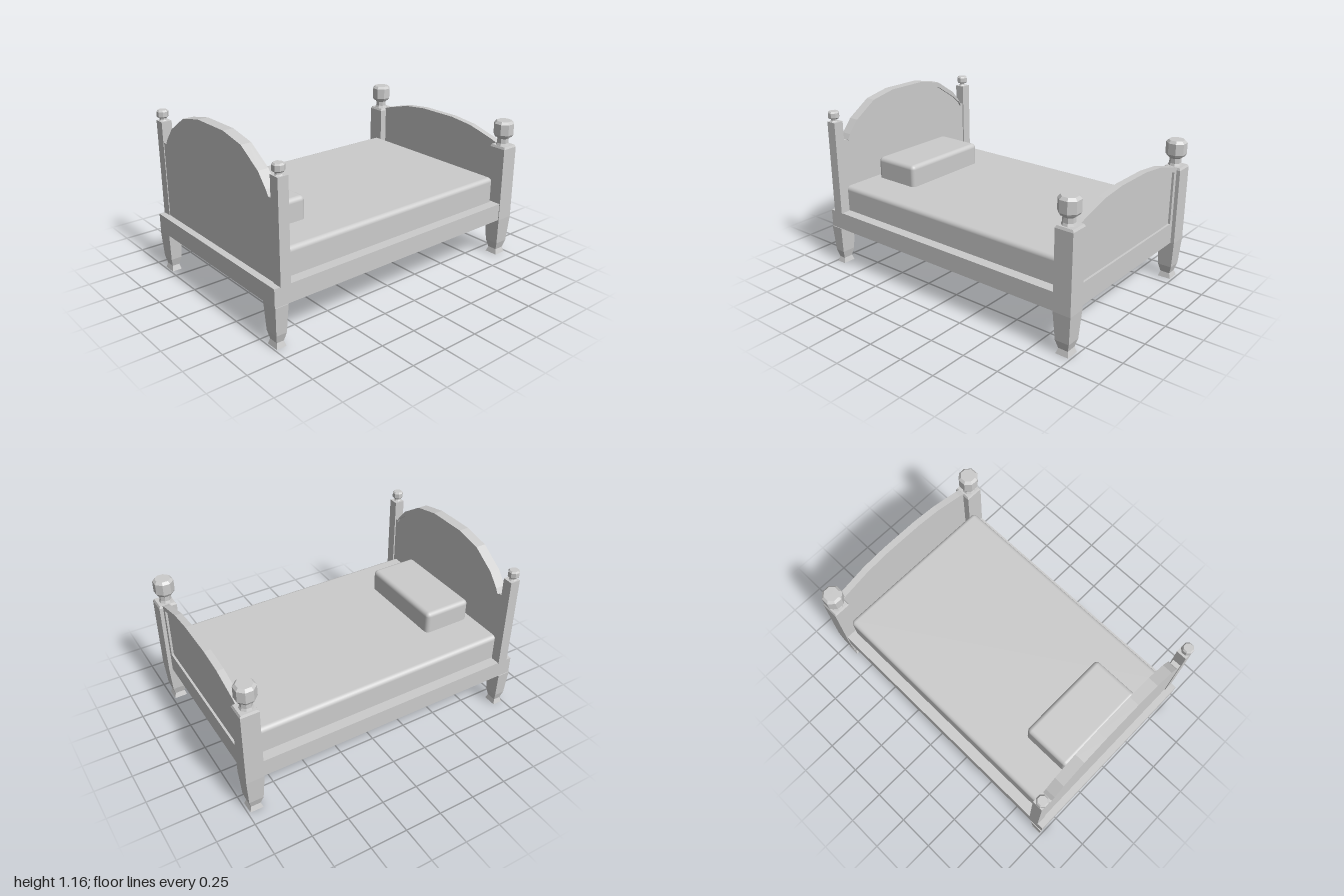
import * as THREE from 'three';
import { RoundedBoxGeometry } from 'three/addons/geometries/RoundedBoxGeometry.js';

const faceted = new THREE.MeshStandardMaterial({ color: 0xcccccc, flatShading: true });
const smooth = new THREE.MeshStandardMaterial({ color: 0xcccccc });

export function createModel() {
  const bed = new THREE.Group();
  bed.name = 'bed';

  const add = (name, geometry, x, y, z, material = faceted) => {
    const mesh = new THREE.Mesh(geometry, material);
    mesh.name = name;
    mesh.position.set(x, y, z);
    bed.add(mesh);
    return mesh;
  };

  // Box given by its minimum and maximum corners
  const box = (name, [x0, y0, z0], [x1, y1, z1]) =>
    add(name, new THREE.BoxGeometry(x1 - x0, y1 - y0, z1 - z0), (x0 + x1) / 2, (y0 + y1) / 2, (z0 + z1) / 2);

  // Profile of [half width across flats, height], swept round with flat sides
  const turned = (profile, sides) => {
    const grow = 1 / Math.cos(Math.PI / sides);
    const points = profile.map(([r, y]) => new THREE.Vector2(r * grow, y));
    return new THREE.LatheGeometry(points, sides, Math.PI / sides);
  };

  // Mirrored outline from the [z, y] points of one half, listed side to middle
  const mirrored = (half) => [...half, ...half.map(([z, y]) => [-z, y]).reverse()]
    .map(([z, y]) => new THREE.Vector2(z, y));

  // Board standing across the bed, from x0 to x1
  const board = (name, shape, x0, x1) => {
    const geometry = new THREE.ExtrudeGeometry(shape, { depth: x1 - x0, bevelEnabled: false });
    geometry.rotateY(Math.PI / 2);
    return add(name, geometry, x0, 0, 0);
  };

  // Frame
  box('frame', [-1, 0.275, -0.665], [0.97, 0.395, 0.665]);

  // Mattress and pillow
  add('mattress', new RoundedBoxGeometry(1.81, 0.25, 1.19, 3, 0.03), -0.025, 0.445, 0, smooth);
  add('pillow', new RoundedBoxGeometry(0.34, 0.18, 0.66, 3, 0.03), -0.695, 0.63, 0, smooth);

  // Headboard with a raised arched rim on its inner face
  const headArch = [[0.57, 0.9], [0.55, 0.935], [0.48, 1.02], [0.32, 1.125], [0.14, 1.162]];
  const headInner = [[0.565, 0.895], [0.55, 0.925], [0.48, 0.985], [0.32, 1.09], [0.14, 1.13]];
  board('headboard', new THREE.Shape(mirrored([[0.61, 0.39], [0.61, 0.9], ...headArch])), -0.955, -0.9);
  board('headboardRim', new THREE.Shape([...mirrored(headArch), ...mirrored(headInner).reverse()]), -0.9, -0.885);

  // Footboard: backing panel and a raised surround on its outer face
  const footOutline = mirrored([[0.56, 0.275], [0.56, 0.8], [0.52, 0.815], [0.32, 0.87], [0.14, 0.89]]);
  const surround = new THREE.Shape(footOutline);
  surround.holes.push(new THREE.Path(mirrored([[0.52, 0.42], [0.52, 0.78], [0.32, 0.845], [0.14, 0.86]])));
  board('footboardPanel', new THREE.Shape(footOutline), 0.93, 0.96);
  board('footboardSurround', surround, 0.96, 0.975);

  // Shared turned geometries
  const leg = turned([[0, 0], [0.74, 0], [0.55, 0.035], [0.8, 0.09], [1, 0.275], [0, 0.275]], 4);
  const footPost = turned([[0, 0.275], [0.06, 0.275], [0.06, 0.787], [0.053, 0.802], [0, 0.802]], 4);
  const footFinial = turned([[0.043, 0.8], [0.036, 0.818], [0.036, 0.85], [0.045, 0.862],
    [0.054, 0.864], [0.063, 0.88], [0.063, 0.955], [0.048, 0.972], [0, 0.972]], 8);
  const headFinial = turned([[0.026, 1.035], [0.019, 1.045], [0.019, 1.055], [0.028, 1.058],
    [0.035, 1.066], [0.035, 1.098], [0.027, 1.108], [0, 1.108]], 8);

  // Legs, posts and finials on both sides
  for (const side of [-1, 1]) {
    add('footLeg', leg, 0.94, 0, side * 0.61).scale.set(0.06, 1, 0.06);
    add('headLeg', leg, -0.955, 0, side * 0.61).scale.set(0.045, 1, 0.06);
    add('footPost', footPost, 0.94, 0, side * 0.61);
    add('footFinial', footFinial, 0.932, 0, side * 0.61);
    box('headPost', [-0.96, 0.39, side * 0.635 - 0.035], [-0.89, 1.037, side * 0.635 + 0.035]);
    add('headFinial', headFinial, -0.93, 0, side * 0.638);
  }
  return bed;
}
